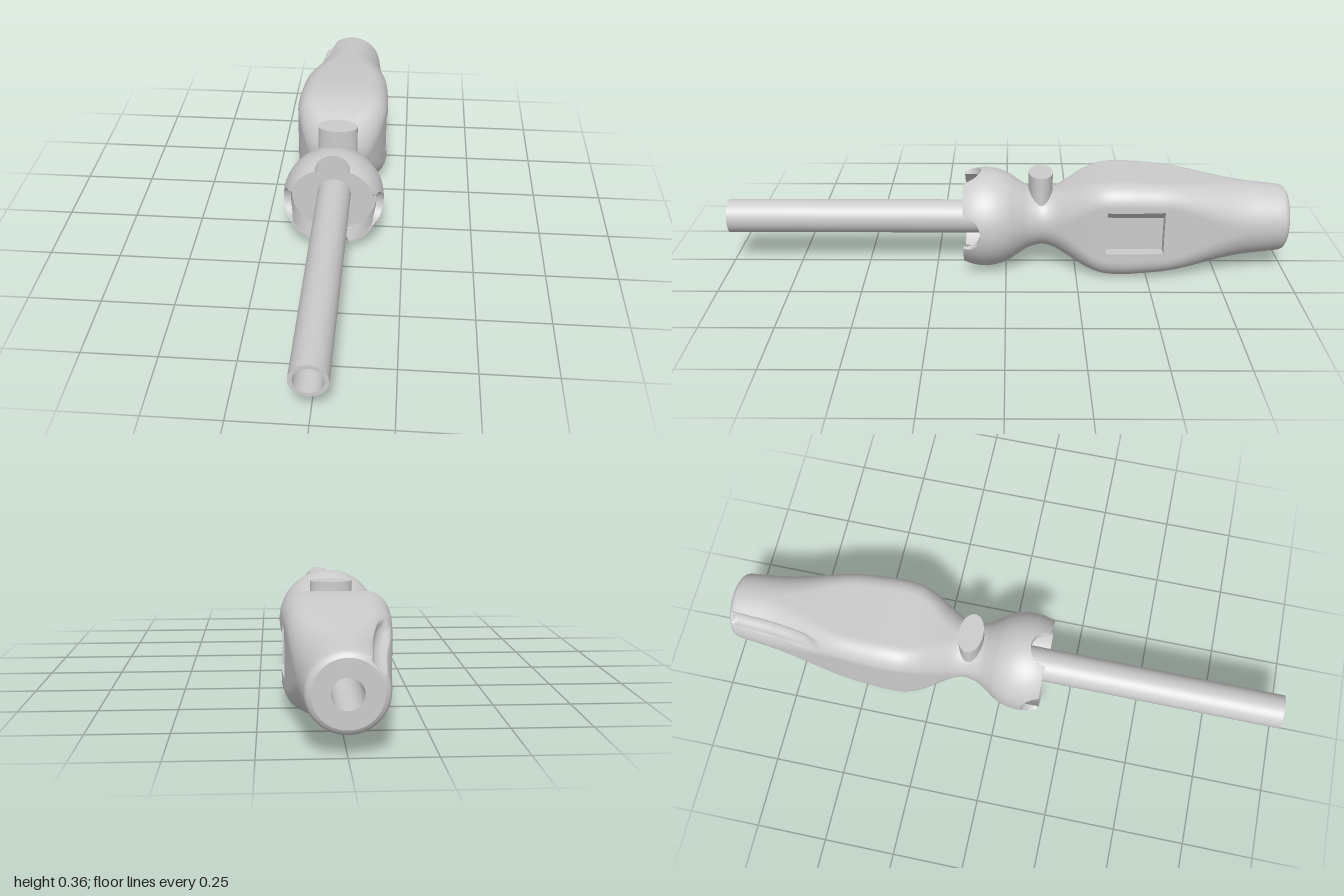
import * as THREE from 'three';

const AXIS = 0.178;                 // height of the long axis
const BORE = 0.046, BARREL = 0.06;
const material = new THREE.MeshStandardMaterial({ color: 0xcccccc, side: THREE.DoubleSide });
const { smoothstep, lerp } = THREE.MathUtils;

// Surface from a rows x cols grid of points; rows run towards -z, cols anticlockwise
function grid(rows, cols, point, closed = false, skip = () => false) {
  const pos = [], index = [];
  for (let i = 0; i < rows; i++) for (let j = 0; j < cols; j++) pos.push(...point(i, j));
  for (let i = 0; i < rows - 1; i++) {
    for (let j = 0; j < (closed ? cols : cols - 1); j++) {
      if (skip(i, j)) continue;
      const k = (j + 1) % cols;
      const a = i * cols + j, b = i * cols + k, c = a + cols, d = b + cols;
      index.push(a, c, b, b, c, d);
    }
  }
  const g = new THREE.BufferGeometry();
  g.setAttribute('position', new THREE.Float32BufferAttribute(pos, 3));
  g.setIndex(index);
  g.computeVertexNormals();
  return g;
}

// Distance from the centre to a rounded square (half size h, corner radius c)
function roundedSquare(theta, h, c) {
  const q = Math.PI / 2;
  const a = Math.abs(theta - Math.round(theta / q) * q);
  const k = h - c, cos = Math.cos(a), sin = Math.sin(a);
  if (h * Math.tan(a) <= k) return h / cos;
  return k * (cos + sin) + Math.sqrt(Math.max(0, c * c - k * k * (cos - sin) ** 2));
}

// Handle half size along z, neck to rear end
const profile = new THREE.SplineCurve([
  [-0.02, 0.1505], [-0.05, 0.13], [-0.08, 0.112], [-0.125, 0.1], [-0.17, 0.108],
  [-0.22, 0.13], [-0.28, 0.154], [-0.35, 0.171], [-0.42, 0.174], [-0.48, 0.171],
  [-0.55, 0.166], [-0.65, 0.156], [-0.8, 0.139], [-0.9, 0.128], [-0.97, 0.12],
  [-0.99, 0.114], [-1, 0.1],
].map(([z, h]) => new THREE.Vector2(z, h)));
const STEP = 6;
const stations = profile.getPoints(16 * STEP);
const WIN_START = 7 * STEP, WIN_END = 10 * STEP;   // window from z = -0.35 to -0.55
const WIN_LOW = -0.07, WIN_HIGH = 0.085;
const WIN_COLS = 24, COLS = 240;

// Shallow slot with a rounded front end, cut in the upper -x side
const SLOT_ANGLE = Math.PI - 0.72;
function slotDepth(theta, r, z) {
  const w = 0.028, front = -0.66;
  const s = (theta - SLOT_ANGLE) * r;
  const e = Math.max(0, z - (front - 2 * w)) / 2;
  const t = (s * s + e * e) / (w * w);
  return t < 1 ? 0.022 * Math.sqrt(1 - t) * (1 - smoothstep(-z, 0.975, 1)) : 0;
}

function handlePoint(i, j) {
  const { x: z, y: h } = stations[i];
  const low = Math.atan2(WIN_LOW, h), high = Math.atan2(WIN_HIGH, h);
  const theta = j <= WIN_COLS
    ? lerp(low, high, j / WIN_COLS)
    : lerp(high, low + 2 * Math.PI, (j - WIN_COLS) / (COLS - WIN_COLS));
  const square = smoothstep(-z, 0.13, 0.34) * (1 - smoothstep(-z, 0.55, 0.88));
  let r = roundedSquare(theta, h, h * (1 - 0.58 * square));
  r -= slotDepth(theta, r, z);
  return [r * Math.cos(theta), r * Math.sin(theta), z];
}

// Head: ball with an open front cup and four round notches in its rim
const BALL_R = 0.178, BALL_Z = 0.075, RIM_Z = 0.15, CUP_R = 0.152, CUP_FLOOR = 0.06;
const NOTCH = 0.06;
const rim = [];
for (let q = 0; q < 4; q++) {
  const mid = q * Math.PI / 2, edge = Math.asin(NOTCH / 0.162);
  for (let k = 0; k <= 24; k++) {
    const psi = (k / 24 - 0.5) * Math.PI;
    rim.push([mid + Math.asin(NOTCH / 0.162 * Math.sin(psi)), RIM_Z - NOTCH * Math.cos(psi)]);
  }
  for (let k = 1; k < 14; k++) rim.push([lerp(mid + edge, mid + Math.PI / 2 - edge, k / 14), RIM_Z]);
}
const ballRadius = z => Math.sqrt(BALL_R ** 2 - (z - BALL_Z) ** 2);
const around = (theta, r, z) => [r * Math.cos(theta), r * Math.sin(theta), z];

export function createModel() {
  const model = new THREE.Group();
  const add = (name, geometry, parent = model) => {
    const mesh = new THREE.Mesh(geometry, material);
    mesh.name = name;
    parent.add(mesh);
    return mesh;
  };
  const section = name => {
    const g = new THREE.Group();
    g.name = name;
    g.position.y = AXIS;
    model.add(g);
    return g;
  };

  // Handle with the window left open
  const handle = section('handle');
  add('handleBody', grid(stations.length, COLS, handlePoint, true,
    (i, j) => i >= WIN_START && i < WIN_END && j < WIN_COLS), handle);
  const end = add('handleEnd', new THREE.RingGeometry(BORE, 0.1, 64), handle);
  end.position.z = -1;
  end.rotation.y = Math.PI;

  // Window pocket: floor, lower wall, sloped upper wall and two end walls
  const pocket = section('sideWindow');
  const FLOOR_X = 0.127;
  const outline = h => [[h, WIN_LOW], [FLOOR_X, WIN_LOW], [FLOOR_X, 0.05], [h, WIN_HIGH]];
  ['windowLowerWall', 'windowFloor', 'windowUpperWall'].forEach((name, s) => {
    add(name, grid(WIN_END - WIN_START + 1, 2, (i, j) => {
      const p = stations[WIN_START + i];
      return [...outline(p.y)[s + j], p.x];
    }), pocket);
  });
  for (const k of [WIN_START, WIN_END]) {
    const { x: z, y: h } = stations[k], o = outline(h);
    add('windowEndWall', grid(2, 2, (i, j) => [...(j ? o[3 - i] : o[i]), z]), pocket);
  }

  // Head
  const head = section('head');
  add('headShell', grid(29, rim.length, (i, j) => {
    const z = lerp(rim[j][1], -0.02, i / 28);
    return around(rim[j][0], ballRadius(z), z);
  }, true), head);
  add('cupWall', grid(2, rim.length, (i, j) =>
    around(rim[j][0], CUP_R, i ? CUP_FLOOR : rim[j][1]), true), head);
  add('notchedRim', grid(2, rim.length, (i, j) =>
    around(rim[j][0], i ? ballRadius(rim[j][1]) : CUP_R, rim[j][1]), true), head);
  add('cupFloor', new THREE.RingGeometry(BORE, CUP_R, 96), head).position.z = CUP_FLOOR;

  // Barrel with a bore running through to the rear end
  const barrel = section('barrel');
  const tube = (name, r, z0, z1) => {
    const mesh = add(name, new THREE.CylinderGeometry(r, r, z1 - z0, 64, 1, true), barrel);
    mesh.rotation.x = Math.PI / 2;
    mesh.position.z = (z0 + z1) / 2;
  };
  tube('barrelOuter', BARREL, CUP_FLOOR, 1);
  tube('bore', BORE, -1, 1);
  add('muzzle', new THREE.RingGeometry(BORE, BARREL, 64), barrel).position.z = 1;

  // Oval stud standing on the neck
  const stud = add('neckStud', new THREE.CylinderGeometry(1, 1, 0.112, 48));
  stud.scale.set(0.072, 1, 0.043);
  stud.position.set(0, AXIS + 0.116, -0.123);

  return model;
}
